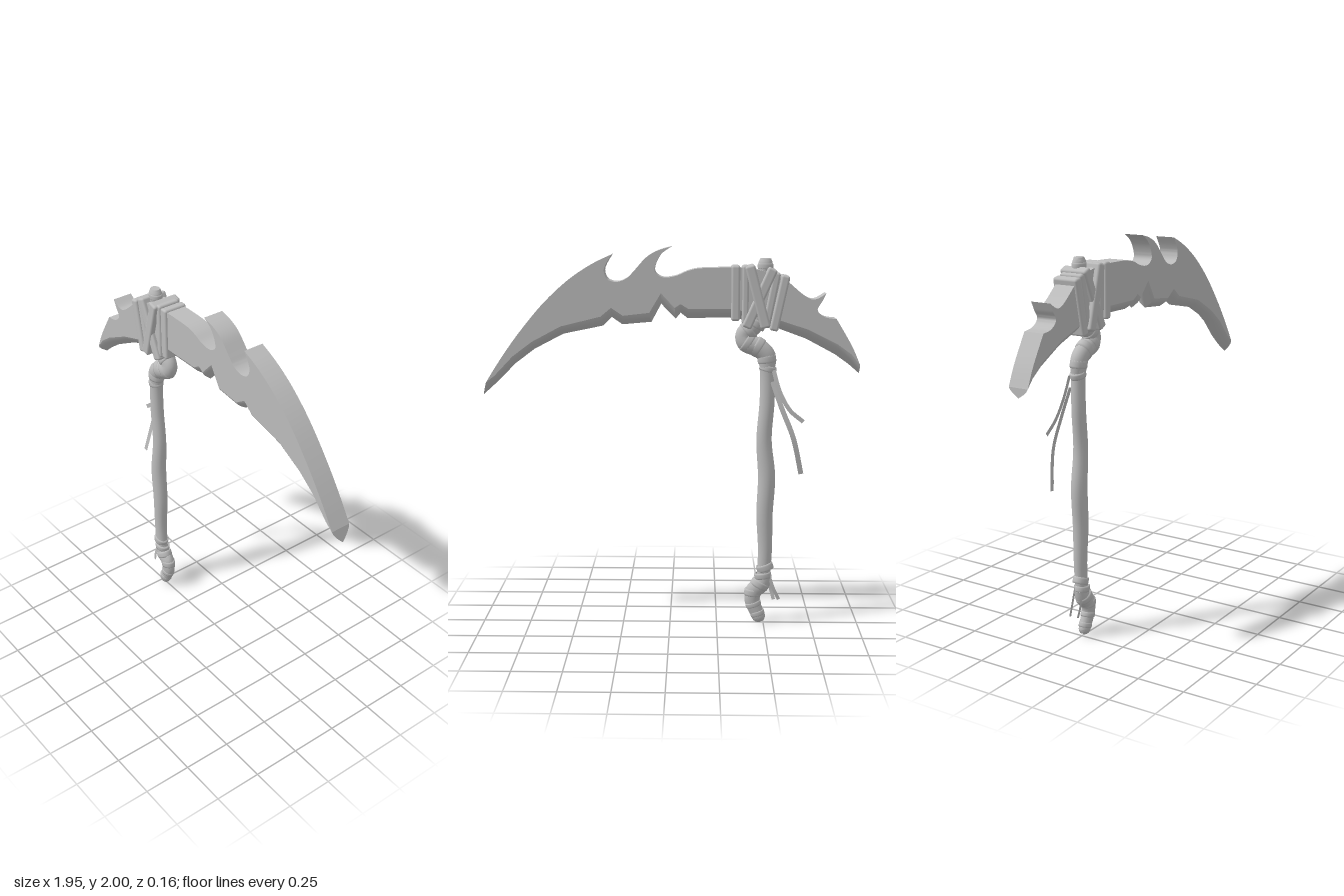
import * as THREE from 'three';
import { toCreasedNormals } from 'three/addons/utils/BufferGeometryUtils.js';
import { RoundedBoxGeometry } from 'three/addons/geometries/RoundedBoxGeometry.js';

const HALF = 0.054; // half thickness of the blade
const grey = new THREE.MeshStandardMaterial({ color: 0xbcbcbc, side: THREE.DoubleSide });
grey.name = 'light grey';

function add(parent, name, geometry) {
  const mesh = new THREE.Mesh(geometry, grey);
  mesh.name = name;
  parent.add(mesh);
  return mesh;
}

function indexed(pos, idx, crease) {
  const g = new THREE.BufferGeometry();
  g.setAttribute('position', new THREE.Float32BufferAttribute(pos, 3));
  g.setIndex(idx);
  g.computeVertexNormals();
  return toCreasedNormals(g, crease);
}

// Round limb along [x, y, radius] stations in the z = 0 plane
function limb(stations, depth = 1, steps = 48, sides = 16) {
  const curve = new THREE.CatmullRomCurve3(stations.map(([x, y, r]) => new THREE.Vector3(x, y, r)), false, 'centripetal');
  const pos = [], idx = [];
  for (let i = 0; i <= steps; i++) {
    const p = curve.getPoint(i / steps);
    const t = curve.getTangent(i / steps).setZ(0).normalize();
    for (let j = 0; j < sides; j++) {
      const a = (j / sides) * Math.PI * 2, c = Math.cos(a) * p.z;
      pos.push(p.x - t.y * c, p.y + t.x * c, Math.sin(a) * p.z * depth);
      if (i < steps) {
        const k = i * sides, n = (j + 1) % sides;
        idx.push(k + j, k + n, k + sides + n, k + j, k + sides + n, k + sides + j);
      }
    }
  }
  const last = steps * sides, c0 = pos.length / 3;
  const first = stations[0], end = stations[stations.length - 1];
  pos.push(first[0], first[1], 0, end[0], end[1], 0);
  for (let j = 0; j < sides; j++) {
    const n = (j + 1) % sides;
    idx.push(c0, n, j, c0 + 1, last + j, last + n);
  }
  return indexed(pos, idx, 0.8);
}

// Thin cloth ribbon along a 3D path, its width lying in the xy plane
function ribbon(points, width) {
  const curve = new THREE.CatmullRomCurve3(points.map(p => new THREE.Vector3(...p)));
  const pos = [], idx = [], steps = 16;
  for (let i = 0; i <= steps; i++) {
    const p = curve.getPoint(i / steps), t = curve.getTangent(i / steps).setZ(0).normalize();
    for (const s of [-0.5, 0.5]) pos.push(p.x - t.y * s * width, p.y + t.x * s * width, p.z);
    if (i < steps) idx.push(2 * i, 2 * i + 2, 2 * i + 1, 2 * i + 1, 2 * i + 2, 2 * i + 3);
  }
  return indexed(pos, idx, 1);
}

// Blade spine: each run is a smooth curve ending at a sharp point
const spine = [
  [[-0.975, 1.40], [-0.93, 1.5], [-0.85, 1.635]],
  [[-0.79, 1.645], [-0.752, 1.68], [-0.775, 1.725], [-0.795, 1.765]],
  [[-0.74, 1.735], [-0.69, 1.75], [-0.6, 1.825]],
  [[-0.5, 1.87], [-0.38, 1.892], [-0.18, 1.892], [-0.1, 1.88], [-0.03, 1.852], [0.035, 1.845],
    [0.075, 1.872], [0.07, 1.915], [0.04, 1.965], [-0.01, 2.0]],
  [[0.06, 1.98], [0.12, 1.945], [0.18, 1.88], [0.22, 1.84], [0.27, 1.822], [0.318, 1.835],
    [0.335, 1.875], [0.325, 1.91], [0.295, 1.96]],
  [[0.4, 1.91], [0.52, 1.83], [0.65, 1.71], [0.78, 1.555], [0.88, 1.415], [0.95, 1.305]],
];

// Cutting edge from right to left: [edge x, edge y, bevel top x, bevel top y]
const edge = [
  [0.972, 1.235, 0.95, 1.305], [0.9, 1.3, 0.905, 1.34], [0.8, 1.4, 0.81, 1.44], [0.7, 1.475, 0.71, 1.515],
  [0.55, 1.553, 0.56, 1.595], [0.345, 1.595, 0.355, 1.645], [0.3, 1.64, 0.3, 1.69], [0.245, 1.602, 0.24, 1.65],
  [0.095, 1.615, 0.105, 1.665], [0.045, 1.708, 0.045, 1.765], [-0.03, 1.632, -0.025, 1.69],
  [-0.055, 1.662, -0.055, 1.71], [-0.09, 1.635, -0.095, 1.685], [-0.31, 1.638, -0.31, 1.685],
  [-0.42, 1.622, -0.42, 1.668], [-0.55, 1.585, -0.555, 1.63], [-0.7, 1.53, -0.71, 1.58],
  [-0.85, 1.45, -0.86, 1.505], [-0.92, 1.4, -0.93, 1.455], [-0.976, 1.352, -0.975, 1.4],
];

function buildBlade(root) {
  const blade = new THREE.Group();
  blade.name = 'blade';
  root.add(blade);

  // Slab between the spine and the top of the bevel
  const shape = new THREE.Shape();
  shape.moveTo(...spine[0][0]);
  spine.forEach((run, i) => shape.splineThru((i ? run : run.slice(1)).map(p => new THREE.Vector2(...p))));
  edge.slice(1, -1).forEach(e => shape.lineTo(e[2], e[3]));
  shape.closePath();
  const slab = new THREE.ExtrudeGeometry(shape, { depth: HALF * 2, bevelEnabled: false, curveSegments: 5 });
  slab.translate(0, 0, -HALF);
  add(blade, 'bladeBody', toCreasedNormals(slab, 0.6));

  // Curved wedge narrowing to the cutting edge, from the front face round to the back
  const pos = [], idx = [], half = 4, row = half * 2 + 1, n = edge.length - 1;
  edge.forEach(([ex, ey, bx, by], i) => {
    for (let j = 0; j < row; j++) {
      const side = 1 - j / half, s = 1 - Math.abs(side);
      pos.push(bx + (ex - bx) * s, by + (ey - by) * s, Math.sign(side) * HALF * (1 - s ** 1.5));
      if (i === n || j === row - 1) continue;
      const k = i * row + j;
      idx.push(k, k + row, k + 1, k + 1, k + row, k + row + 1);
    }
  });
  // Close both ends
  for (let j = 1; j < row - 1; j++) {
    idx.push(0, j, j + 1, n * row, n * row + j + 1, n * row + j);
  }
  add(blade, 'cuttingEdge', indexed(pos, idx, 0.75));
}

function buildHandle(root) {
  const handle = new THREE.Group();
  handle.name = 'handle';
  root.add(handle);

  add(handle, 'shaft', limb([
    [-0.495, 0.2, 0.035], [-0.505, 0.4, 0.037], [-0.5, 0.6, 0.043], [-0.508, 0.8, 0.045], [-0.492, 1.0, 0.04],
    [-0.505, 1.2, 0.039], [-0.505, 1.35, 0.039], [-0.5, 1.44, 0.045],
  ], 0.87));
  add(handle, 'crookedNeck', limb([
    [-0.51, 1.38, 0.036], [-0.5, 1.44, 0.046], [-0.455, 1.483, 0.049], [-0.395, 1.51, 0.05], [-0.382, 1.55, 0.045],
    [-0.43, 1.6, 0.05], [-0.47, 1.7, 0.05], [-0.483, 1.85, 0.036], [-0.487, 1.915, 0.037], [-0.488, 1.94, 0.027],
  ], 0.85));
  add(handle, 'pommelHook', limb([
    [-0.505, 0.27, 0.04], [-0.485, 0.215, 0.046], [-0.45, 0.18, 0.045], [-0.44, 0.125, 0.04],
    [-0.465, 0.06, 0.037], [-0.48, 0.025, 0.033], [-0.486, 0.01, 0.02],
  ], 0.8));

  // Cord turns: [x, y, radius, height, tilt]
  const turns = [
    [-0.505, 0.31, 0.046, 0.035, -0.35], [-0.495, 0.265, 0.046, 0.03, -0.15], [-0.48, 0.215, 0.05, 0.035, 0.5],
    [-0.442, 0.17, 0.045, 0.035, 0.1], [-0.446, 0.105, 0.042, 0.025, -0.3], [-0.468, 0.055, 0.039, 0.025, -0.3],
    [-0.507, 1.375, 0.045, 0.03, 0.25], [-0.5, 1.425, 0.049, 0.04, -0.15], [-0.45, 1.487, 0.053, 0.04, -1.0],
    [-0.4, 1.51, 0.054, 0.035, -1.0], [-0.405, 1.572, 0.052, 0.035, 0.9], [-0.44, 1.61, 0.056, 0.04, 0.5],
    [-0.487, 1.9, 0.04, 0.03, 0],
  ];
  for (const [x, y, r, h, tilt] of turns) {
    const profile = [[r * 0.8, -h / 2], [r * 0.96, -h / 2], [r, -h / 4], [r, h / 4], [r * 0.96, h / 2], [r * 0.8, h / 2]];
    const turn = add(handle, 'cordTurn', new THREE.LatheGeometry(profile.map(p => new THREE.Vector2(...p)), 18));
    turn.position.set(x, y, 0);
    turn.rotation.z = tilt;
    turn.scale.z = 0.82;
  }
}

function buildBinding(root) {
  const binding = new THREE.Group();
  binding.name = 'binding';
  root.add(binding);

  // Straps around the blade: [top x, top y, bottom x, bottom y, width, depth]
  const straps = [
    [-0.59, 1.855, -0.53, 1.575, 0.045, 0.138], [-0.545, 1.87, -0.49, 1.59, 0.04, 0.128],
    [-0.335, 1.905, -0.335, 1.625, 0.045, 0.13], [-0.385, 1.905, -0.385, 1.61, 0.035, 0.124],
    [-0.525, 1.89, -0.39, 1.59, 0.05, 0.15], [-0.405, 1.905, -0.49, 1.59, 0.052, 0.162],
  ];
  for (const [x0, y0, x1, y1, w, d] of straps) {
    const length = Math.hypot(x1 - x0, y1 - y0);
    const strap = add(binding, 'strap', new RoundedBoxGeometry(w, length, d, 2, 0.012));
    strap.position.set((x0 + x1) / 2, (y0 + y1) / 2, 0);
    strap.rotation.z = Math.atan2(x1 - x0, y0 - y1);
  }

  // Loose cloth ends
  const ends = [
    [[[-0.535, 1.37, -0.03], [-0.567, 1.26, -0.045], [-0.62, 1.165, -0.055], [-0.69, 1.105, -0.058]], 0.022],
    [[[-0.53, 1.31, -0.03], [-0.58, 1.17, -0.05], [-0.64, 1.02, -0.058], [-0.685, 0.825, -0.036]], 0.026],
    [[[-0.52, 0.29, -0.02], [-0.55, 0.2, -0.02], [-0.58, 0.135, -0.015]], 0.018],
    [[[-0.515, 0.27, 0.015], [-0.54, 0.18, 0.02], [-0.555, 0.125, 0.015]], 0.018],
  ];
  ends.forEach(([path, width]) => add(binding, 'looseEnd', ribbon(path, width)));
}

export function createModel() {
  const model = new THREE.Group();
  model.name = 'scythe';
  buildBlade(model);
  buildHandle(model);
  buildBinding(model);
  return model;
}
